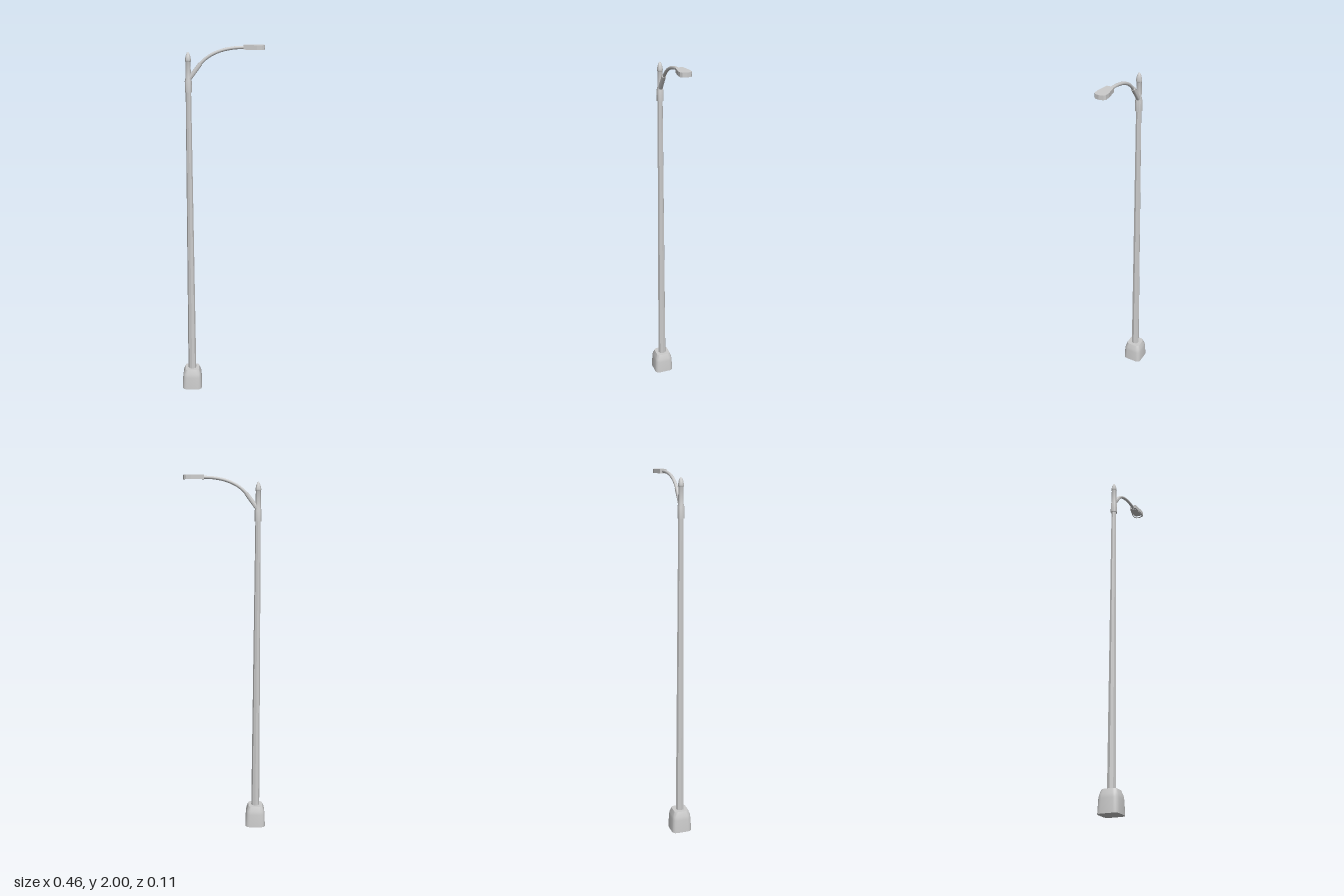
import * as THREE from 'three';
import { toCreasedNormals } from 'three/addons/utils/BufferGeometryUtils.js';

const POLE_X = -0.172;
const grey = new THREE.MeshStandardMaterial({ color: 0xcccccc });
const greyFlat = new THREE.MeshStandardMaterial({ color: 0xcccccc, flatShading: true });

function add(parent, name, geometry, material = grey) {
  const mesh = new THREE.Mesh(geometry, material);
  mesh.name = name;
  parent.add(mesh);
  return mesh;
}

// Rounded square outline, counter-clockwise seen from below
function squareRing(half, corner, y) {
  const ring = [];
  for (let q = 0; q < 4; q++) {
    for (let s = 0; s <= 3; s++) {
      const a = (q + s / 3) * Math.PI / 2;
      const cx = (half - corner) * (q === 0 || q === 3 ? 1 : -1);
      const cz = (half - corner) * (q < 2 ? 1 : -1);
      ring.push([cx + corner * Math.cos(a), y, cz + corner * Math.sin(a)]);
    }
  }
  return ring;
}

// Skin between rings, closed at both ends
function loft(rings) {
  const n = rings[0].length;
  const pos = rings.flat(2);
  const index = [];
  for (let r = 0; r < rings.length - 1; r++) {
    for (let i = 0; i < n; i++) {
      const a = r * n + i, b = r * n + (i + 1) % n;
      index.push(a, a + n, b, b, a + n, b + n);
    }
  }
  const top = (rings.length - 1) * n;
  for (let i = 1; i < n - 1; i++) {
    index.push(0, i, i + 1);
    index.push(top, top + i + 1, top + i);
  }
  const g = new THREE.BufferGeometry();
  g.setAttribute('position', new THREE.Float32BufferAttribute(pos, 3));
  g.setIndex(index);
  g.computeVertexNormals();
  return toCreasedNormals(g, 0.6);
}

// Lamp head outline in plan; k scales it about its middle
function headPoints(k) {
  const half = [[0.117, 0.019], [0.185, 0.031], [0.212, 0.03], [0.223, 0.022], [0.228, 0]];
  const mirrored = half.slice(0, 4).reverse().map(([x, z]) => [x, -z]);
  return [...half, ...mirrored].map(([x, z]) =>
    new THREE.Vector2(0.178 + (x - 0.178) * k, z * k));
}

// Plan shape extruded upward from y
function slab(shape, y, height) {
  const g = new THREE.ExtrudeGeometry(shape, { depth: height, bevelEnabled: false });
  g.rotateX(-Math.PI / 2);
  g.translate(0, y, 0);
  return g;
}

export function createModel() {
  const model = new THREE.Group();
  model.name = 'streetLamp';

  // Column: base, tapered octagonal pole, collar and finial
  const column = new THREE.Group();
  column.name = 'column';
  column.position.x = POLE_X;
  model.add(column);

  add(column, 'base', loft([
    squareRing(0.057, 0.024, 0),
    squareRing(0.054, 0.024, 0.075),
    squareRing(0.051, 0.023, 0.095),
    squareRing(0.041, 0.018, 0.122),
  ]));

  const pole = new THREE.CylinderGeometry(0.0145, 0.0235, 1.66, 8);
  pole.translate(0, 0.95, 0);
  add(column, 'pole', pole, greyFlat);

  const topProfile = [
    [0, 1.757], [0.0185, 1.757], [0.0185, 1.815], [0.0145, 1.832], [0.0135, 1.915],
    [0.0155, 1.918], [0.0155, 1.928], [0.012, 1.945], [0.006, 1.96], [0, 1.965],
  ].map(([r, y]) => new THREE.Vector2(r, y));
  add(column, 'collarAndFinial',
    toCreasedNormals(new THREE.LatheGeometry(topProfile, 12), 0.7));

  // Arm sweeping up and out, with a wider sleeve at its root
  const path = new THREE.CatmullRomCurve3([
    [-0.172, 1.82], [-0.124, 1.886], [-0.07, 1.938], [-0.01, 1.968], [0.06, 1.984], [0.13, 1.988],
  ].map(([x, y]) => new THREE.Vector3(x, y, 0)));
  add(model, 'arm', new THREE.TubeGeometry(path, 20, 0.0085, 10, false));

  const rootEnd = path.getPointAt(0.29);
  const rootStart = path.getPointAt(0);
  const dir = rootEnd.clone().sub(rootStart);
  const sleeve = new THREE.CylinderGeometry(0.0115, 0.0125, dir.length(), 10);
  const sleeveMesh = add(model, 'armSleeve', toCreasedNormals(sleeve, 0.8));
  sleeveMesh.position.copy(rootStart).add(rootEnd).multiplyScalar(0.5);
  sleeveMesh.quaternion.setFromUnitVectors(new THREE.Vector3(0, 1, 0), dir.normalize());

  // Lamp head: lid, rim open below, and recessed lens
  const head = new THREE.Group();
  head.name = 'lampHead';
  model.add(head);
  const rim = new THREE.Shape(headPoints(1));
  rim.holes.push(new THREE.Path(headPoints(0.82)));
  add(head, 'rim', slab(rim, 1.977, 0.015), greyFlat);
  add(head, 'lid', slab(new THREE.Shape(headPoints(1)), 1.992, 0.008), greyFlat);
  add(head, 'lens', slab(new THREE.Shape(headPoints(0.6)), 1.985, 0.007), greyFlat);

  return model;
}
